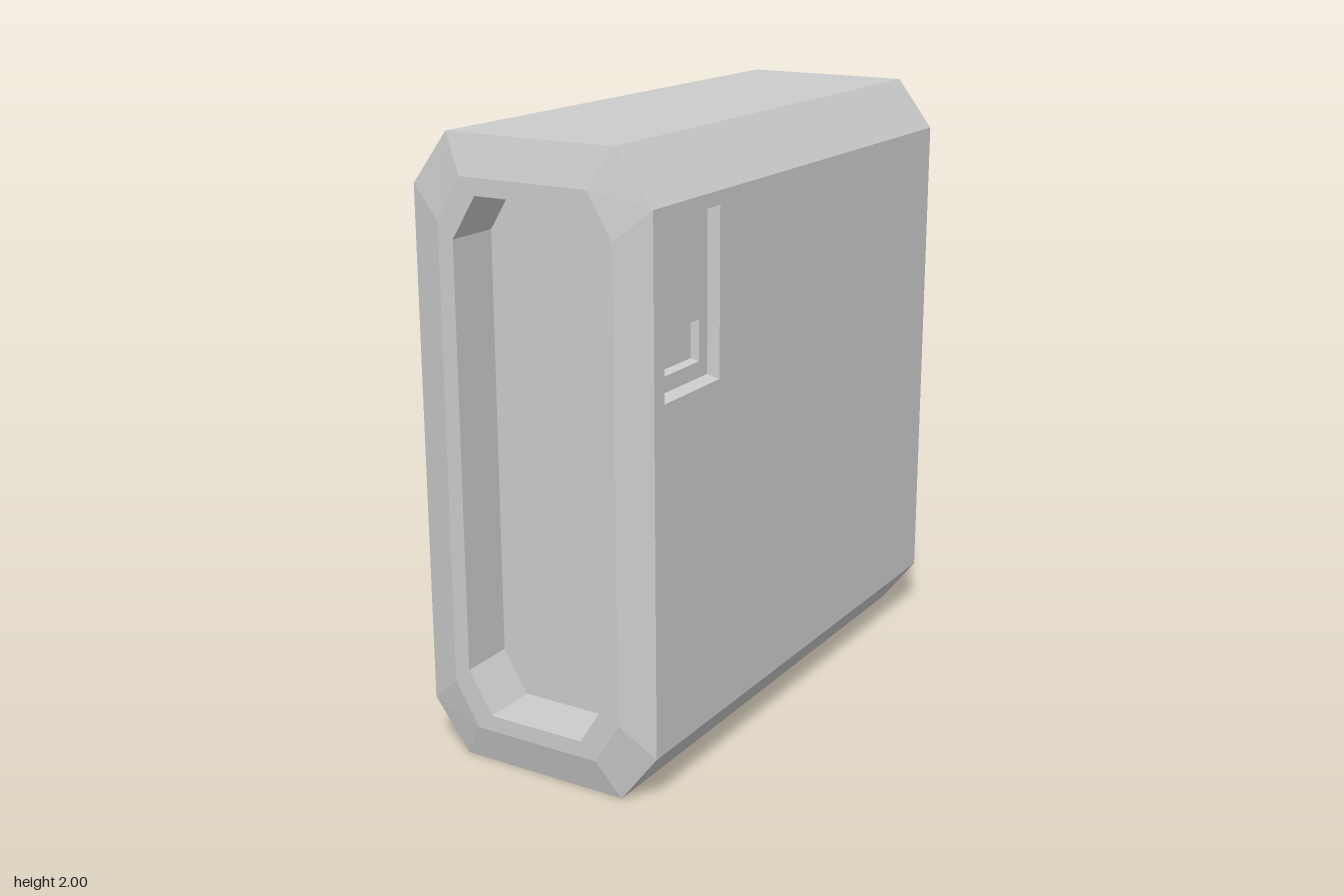
import * as THREE from 'three';

const material = new THREE.MeshStandardMaterial({ color: 0xcccccc, flatShading: true });

// Joins rings of corners with quads; rings run counter-clockwise seen from outside.
function loft(name, rings, { startCap = false, endCap = false, skip = () => false } = {}) {
  const pos = [];
  const tri = (a, b, c) => pos.push(...a, ...b, ...c);
  const n = rings[0].length;
  for (let r = 0; r < rings.length - 1; r++) {
    const a = rings[r], b = rings[r + 1];
    for (let i = 0; i < n; i++) {
      if (skip(r, i)) continue;
      const j = (i + 1) % n;
      tri(a[i], a[j], b[j]);
      tri(a[i], b[j], b[i]);
    }
  }
  const first = rings[0], last = rings[rings.length - 1];
  for (let i = 1; i < n - 1; i++) {
    if (startCap) tri(first[0], first[i + 1], first[i]);
    if (endCap) tri(last[0], last[i], last[i + 1]);
  }
  const geometry = new THREE.BufferGeometry();
  geometry.setAttribute('position', new THREE.Float32BufferAttribute(pos, 3));
  geometry.computeVertexNormals();
  const mesh = new THREE.Mesh(geometry, material);
  mesh.name = name;
  return mesh;
}

// Upright octagon: half width w, inset y from top and bottom, corner cuts cx, cy.
function octagon(w, inset, cx, cy, z) {
  const lo = inset, hi = 2 - inset, v = w - cx;
  return [
    [w, lo + cy], [w, hi - cy], [v, hi], [-v, hi],
    [-w, hi - cy], [-w, lo + cy], [-v, lo], [v, lo],
  ].map(([x, y]) => [x, y, z]);
}

// Rectangle facing +x.
const rect = (x, z0, z1, y0, y1) => [[x, y0, z1], [x, y0, z0], [x, y1, z0], [x, y1, z1]];

export function createModel() {
  const group = new THREE.Group();
  const W = 0.42, BACK = -0.945, SHOULDER = 0.91, FRONT = 0.945;
  const CUT_X = 0.127, CUT_Y = 0.165;
  const rim = octagon(0.253, 0.175, 0.085, 0.137, FRONT);

  // Octagonal shell with bevelled front rim; the left wall is left to the side panel
  group.add(loft('shell', [
    octagon(W, 0, CUT_X, CUT_Y, BACK),
    octagon(W, 0, CUT_X, CUT_Y, SHOULDER),
    octagon(0.307, 0.122, 0.085, 0.14, FRONT),
    rim,
  ], { startCap: true, skip: (r, i) => r === 0 && i === 0 }));

  // Deep recess in the front
  group.add(loft('frontRecess', [
    rim,
    octagon(0.253, 0.175, 0.085, 0.137, 0.76),
  ], { endCap: true }));

  // Left wall with a hatch recess and a smaller latch recess inside it
  group.add(loft('leftWall', [
    rect(W, BACK, SHOULDER, CUT_Y, 2 - CUT_Y),
    rect(W, 0.545, 0.855, 1.265, 1.792),
  ]));
  group.add(loft('hatchRecess', [
    rect(W, 0.545, 0.855, 1.265, 1.792),
    rect(0.383, 0.555, 0.84, 1.278, 1.784),
    rect(0.383, 0.603, 0.797, 1.328, 1.456),
  ]));
  group.add(loft('latchRecess', [
    rect(0.383, 0.603, 0.797, 1.328, 1.456),
    rect(0.358, 0.61, 0.78, 1.336, 1.45),
  ], { endCap: true }));

  return group;
}
